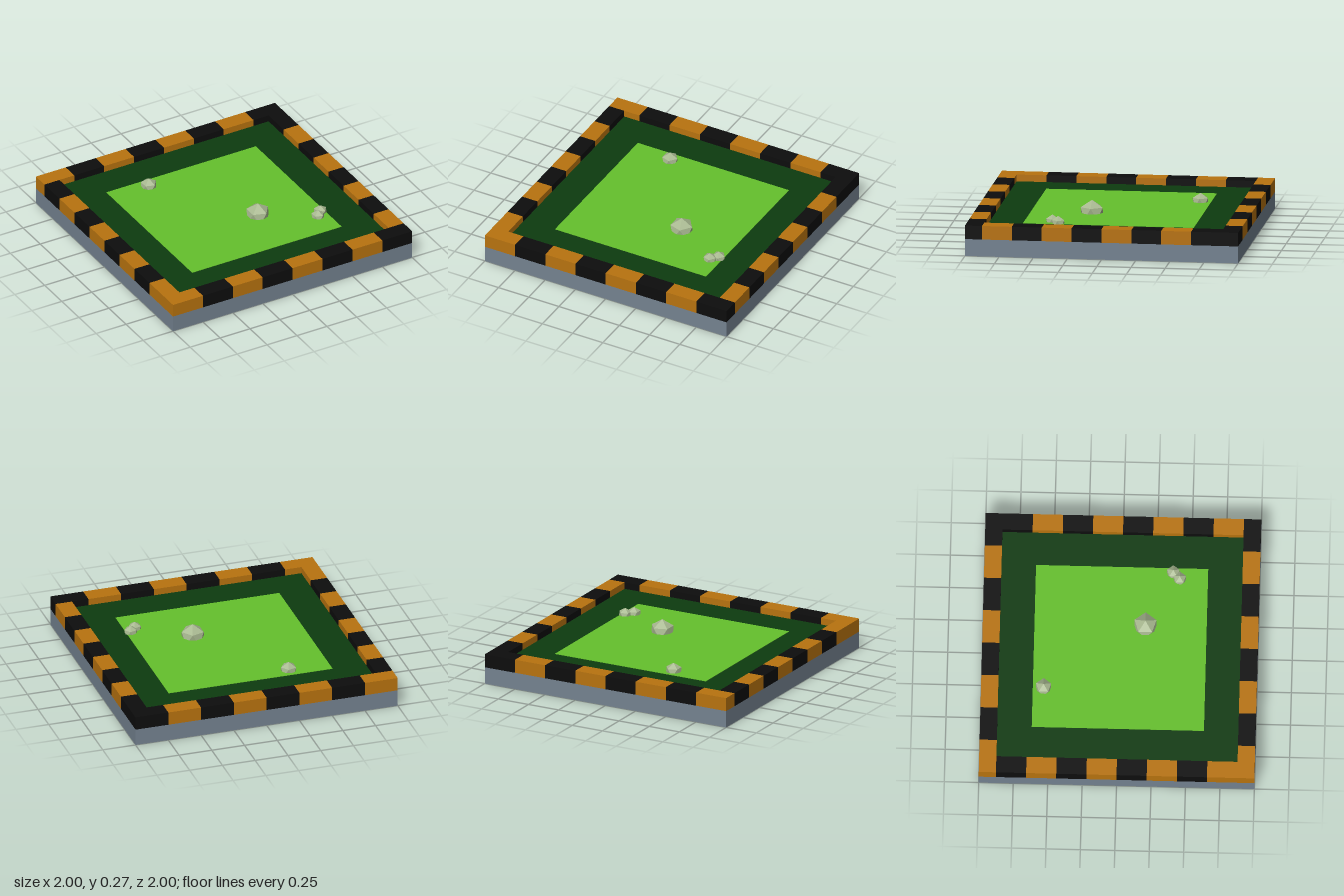
import * as THREE from 'three';

const mat = (name, color) => {
  const m = new THREE.MeshStandardMaterial({ color });
  m.name = name;
  return m;
};

export function createModel() {
  const slate = mat('slate grey', 0x748290);
  const orange = mat('kerb orange', 0xb8730f);
  const black = mat('kerb black', 0x0d0d0d);
  const darkGreen = mat('dark green', 0x0d3b0f);
  const lime = mat('lime green', 0x65c02c);
  const stone = mat('pale stone', 0xa8b890);
  stone.flatShading = true;

  const model = new THREE.Group();
  model.name = 'grassTile';

  // Box placed by its centre in plan and by its bottom
  const box = (name, material, w, h, d, x, bottom, z, parent = model) => {
    const mesh = new THREE.Mesh(new THREE.BoxGeometry(w, h, d), material);
    mesh.name = name;
    mesh.position.set(x, bottom + h / 2, z);
    parent.add(mesh);
  };

  // Slab, sunken border and lawn
  const baseTop = 0.125, floorTop = 0.175;
  box('base', slate, 2, baseTop, 2, 0, 0, 0);
  box('borderGrass', darkGreen, 1.75, floorTop - baseTop, 1.75, 0, baseTop, 0);
  box('lawn', lime, 1.25, 0.003, 1.25, 0, floorTop, 0);

  // Striped kerb: eight blocks on each edge, side rows fitted between the ends
  const kerb = new THREE.Group();
  kerb.name = 'kerb';
  model.add(kerb);
  const t = 0.125, h = 0.1, n = 8, long = 2 / n, short = (2 - 2 * t) / n;
  for (const side of [-1, 1]) {
    const edge = side * (1 - t / 2);
    for (let i = 0; i < n; i++) {
      const even = i % 2 === 0;
      box('kerbBlock', even ? orange : black, long, h, t, -1 + (i + 0.5) * long, baseTop, edge, kerb);
      box('kerbBlock', even ? black : orange, t, h, short, edge, baseTop, -1 + t + (i + 0.5) * short, kerb);
    }
  }

  // Half-buried rocks, each standing on a vertex
  const rockShape = new THREE.IcosahedronGeometry(1, 0);
  rockShape.rotateZ(Math.atan(2 / (1 + Math.sqrt(5))));
  rockShape.rotateY(Math.PI);
  const rocks = [
    [0.18, 0.18, 0.094],
    [-0.315, -0.547, 0.065],
    [0.545, 0.42, 0.053],
    [0.592, 0.372, 0.053],
  ];
  for (const [x, z, r] of rocks) {
    const rock = new THREE.Mesh(rockShape, stone);
    rock.name = 'rock';
    rock.position.set(x, floorTop + 0.003, z);
    rock.scale.setScalar(r);
    model.add(rock);
  }

  return model;
}
